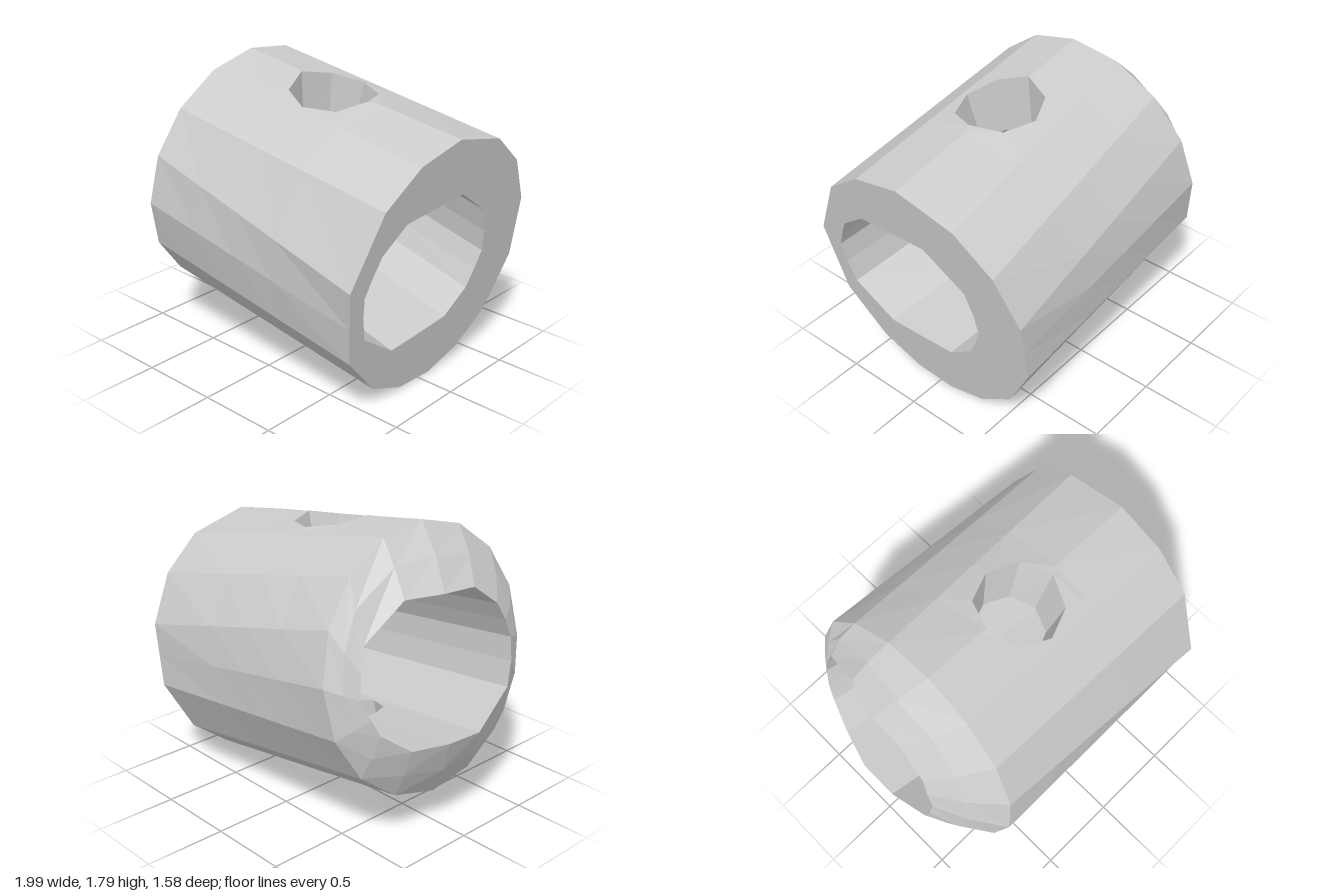
import * as THREE from 'three';

const N = 16;           // facets around the sleeve
const R = 0.79;         // outer radius
const LENGTH = 1.573;   // from the rounded shoulder to the flat end
const HOLE_S = 0.69;    // where the cross hole meets the axis
const PATCH = 0.31;     // half length of the wall panel around the hole
const BORE_FLAT = 0.42; // half height of the bore

// Corner angles of the flat end; 96 and 266 split the widest sides
const END_ANGLES = [-3, 21, 44, 78, 96, 114, 142, 163, 183, 203, 225, 252, 266, 281, 305, 328];

// Half of the bore section as (up, sideways); the other half is its negative
const BORE_HALF = [[0.42, 0], [0.418, 0.24], [0.295, 0.425], [0.19, 0.485],
  [0.08, 0.537], [-0.06, 0.53], [-0.21, 0.5], [-0.418, 0.245]];

// Points are (distance along axis, up, sideways)
const P = (s, u, w) => new THREE.Vector3(s, u, w);
const polar = (s, r, a) => P(s, r * Math.cos(a), r * Math.sin(a));
const ring = (f) => Array.from({ length: N }, (_, i) => f(i));
const domeAt = (r) => -0.6 * (R * R - r * r);

// The bore runs slightly askew to the outer wall
function borePoint(s, i) {
  const sign = i < 8 ? 1 : -1;
  const [u, w] = BORE_HALF[i % 8];
  return P(s, sign * u, sign * w + 0.126 * (s - HOLE_S));
}

// Corner of the flat end; side splits stay on the straight edge
function endPoint(i) {
  const corner = (k) => polar(LENGTH, R, THREE.MathUtils.degToRad(END_ANGLES[k]));
  return i === 4 || i === 12 ? corner(i - 1).lerp(corner(i + 1), 0.5) : corner(i);
}

// Outer wall: straight lines from the even shoulder to the uneven flat end
const outerPoint = (s, i) => polar(0, R, (i / N) * Math.PI * 2).lerp(endPoint(i), s / LENGTH);

// Bore lip where it breaks through the rounded end
function lipPoint(i) {
  const p = borePoint(-0.2, i);
  return borePoint(domeAt(Math.hypot(p.y, p.z)), i);
}

// Ring between the lip and the shoulder, lying on the rounded end
function domePoint(i) {
  const lip = lipPoint(i);
  const r = (Math.hypot(lip.y, lip.z) + R) / 2;
  const middle = lip.lerp(outerPoint(0, i), 0.5);
  return polar(domeAt(r), r, Math.atan2(middle.z, middle.y));
}

function makeMesh(name, quads, material) {
  const pos = [];
  for (const [a, b, c, d] of quads)
    for (const p of [a, b, c, a, c, d]) pos.push(p.x, p.y, p.z);
  const geometry = new THREE.BufferGeometry();
  geometry.setAttribute('position', new THREE.Float32BufferAttribute(pos, 3));
  geometry.computeVertexNormals();
  const mesh = new THREE.Mesh(geometry, material);
  mesh.name = name;
  return mesh;
}

// Closed band between two matching loops, optionally leaving out some facets
function band(a, b, skip = []) {
  const quads = [];
  a.forEach((p, i) => {
    const j = (i + 1) % a.length;
    if (!skip.includes(i)) quads.push([p, a[j], b[j], b[i]]);
  });
  return quads;
}

const OCTAGON = [[-1, -1], [-1, 0], [-1, 1], [0, 1], [1, 1], [1, 0], [1, -1], [0, -1]];

// Edge of the cross hole; dir is the direction of travel along the axis
function holeLoop(side, dir, radius, height) {
  return OCTAGON.map(([ds, dw]) => {
    const k = radius / Math.hypot(ds, dw);
    const w = side * dw * k;
    return P(HOLE_S + dir * ds * k, side * height(w), w);
  });
}

// A long wall with two opposite holes
function piercedWall(point, stations, holes) {
  const rings = stations.map((s) => ring((i) => point(s, i)));
  const [a, m, b] = rings.slice(1, 4);
  const quads = [];
  for (let k = 0; k < rings.length - 1; k++) {
    const beside = k === 1 || k === 2;
    quads.push(...band(rings[k], rings[k + 1], beside ? [N - 1, 0, 7, 8] : []));
  }
  holes.forEach((hole, h) => {
    const c = h * 8, l = (c + N - 1) % N, r = c + 1;
    const frame = [a[l], a[c], a[r], m[r], b[r], b[c], b[l], m[l]];
    quads.push(...band(frame, hole));
  });
  return quads;
}

export function createModel() {
  const material = new THREE.MeshStandardMaterial({ color: 0xcccccc, flatShading: true });
  const sleeve = new THREE.Group();
  sleeve.name = 'sleeve';

  // Hole edges on the outer facets and on the flats of the bore
  const step = (Math.PI * 2) / N;
  const facetHeight = (w) => R - (R - R * Math.cos(step)) * Math.abs(w) / (R * Math.sin(step));
  const outerHoles = [1, -1].map((side) => holeLoop(side, 1, 0.26, facetHeight));
  const innerHoles = [1, -1].map((side) => holeLoop(side, -1, 0.215, () => BORE_FLAT));

  const lip = ring(lipPoint), dome = ring(domePoint);
  const shoulder = ring((i) => outerPoint(0, i));
  const endInner = ring((i) => borePoint(LENGTH, i));
  const s0 = HOLE_S - PATCH, s1 = HOLE_S + PATCH;

  const add = (name, quads) => sleeve.add(makeMesh(name, quads, material));
  add('roundedEnd', [...band(lip, dome), ...band(dome, shoulder)]);
  add('outerWall', piercedWall(outerPoint, [0, s0, HOLE_S, s1, LENGTH], outerHoles));
  add('flatEnd', band(ring(endPoint), endInner));
  add('bore', [
    ...piercedWall(borePoint, [LENGTH, s1, HOLE_S, s0, 0], innerHoles),
    ...band(ring((i) => borePoint(0, i)), lip),
  ]);

  // Hole sides join the outer edge to the matching bore edge
  ['topHole', 'bottomHole'].forEach((name, h) => {
    const inner = OCTAGON.map((_, k) => innerHoles[h][(14 - k) % 8]);
    add(name, band(outerHoles[h], inner));
  });

  // Lean the sleeve down to its left and roll it slightly
  sleeve.rotation.set(0.066, 0, -0.152, 'ZYX');
  sleeve.position.set(-0.675, 1.015, 0);

  const model = new THREE.Group();
  model.name = 'tiltedSleeve';
  model.add(sleeve);
  return model;
}
